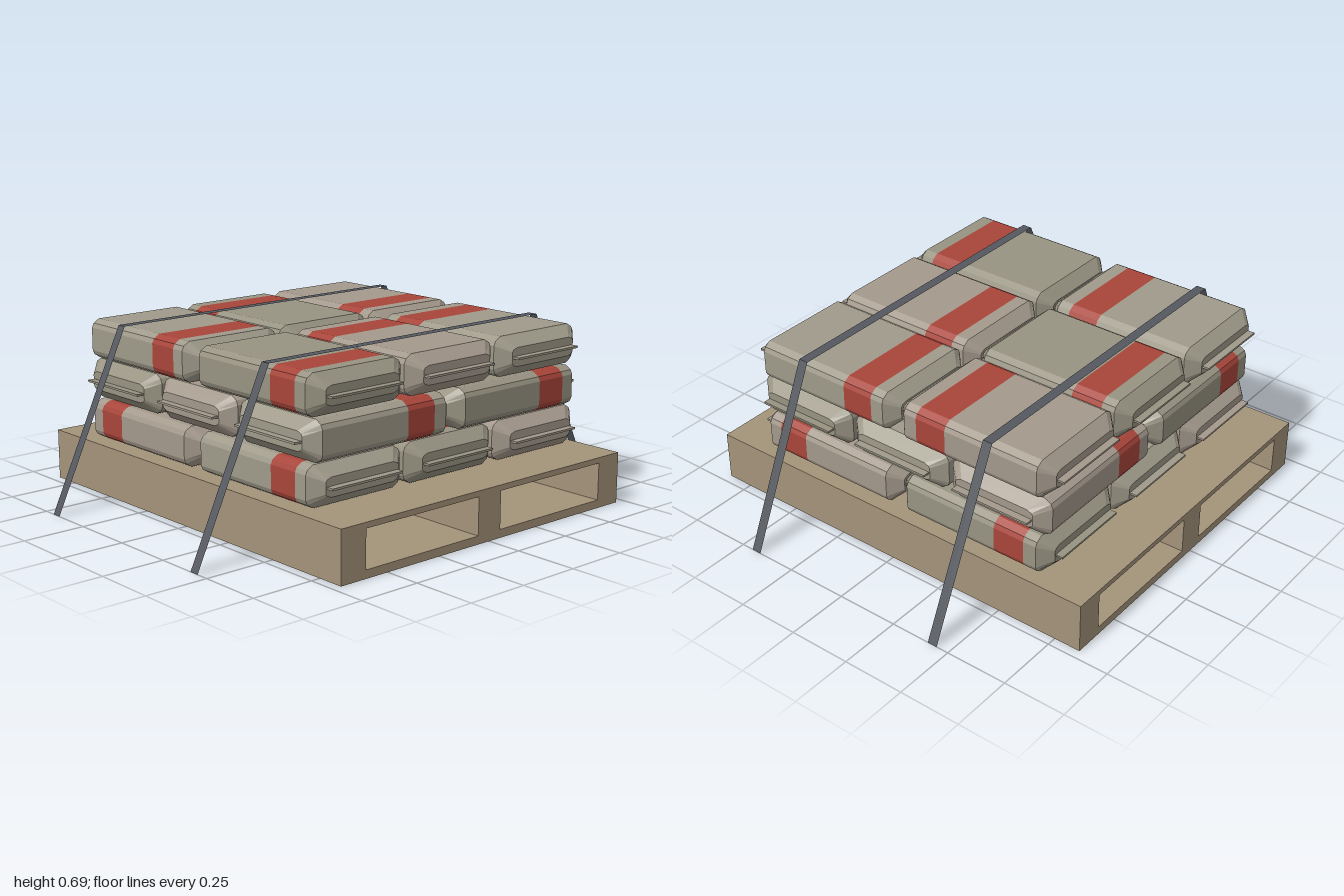
import * as THREE from 'three';

const mat = (color, extra = {}) => new THREE.MeshStandardMaterial({ color, flatShading: true, ...extra });
const SACKS = [mat(0x9f9a8a), mat(0xa4998c), mat(0x989382)];
const RED = mat(0xa8453a);
const WOOD = mat(0xa4937a);
const STRAP = mat(0x54585e, { side: THREE.DoubleSide });

// Sack cross-section: a flat box with softened corners, counter-clockwise
const CORNER = [[0.22, 0.045], [0.212, 0.062], [0.187, 0.077]];
const flip = (sx, sy, reverse) => {
  const pts = CORNER.map(([x, y]) => [x * sx, y * sy]);
  return reverse ? pts.reverse() : pts;
};
const SECTION = [...flip(1, 1), ...flip(-1, 1, true), ...flip(-1, -1), ...flip(1, -1, true)];

// Skin over rings [z, width scale, height scale], with optional end caps
function loft(rings, capStart, capEnd) {
  const n = SECTION.length, pos = [], idx = [];
  for (const [z, sx, sy] of rings) for (const [x, y] of SECTION) pos.push(x * sx, y * sy, z);
  for (let r = 0; r < rings.length - 1; r++) {
    for (let j = 0; j < n; j++) {
      const a = r * n + j, b = r * n + (j + 1) % n;
      idx.push(a, b, b + n, a, b + n, a + n);
    }
  }
  const last = (rings.length - 1) * n;
  for (let j = 1; j < n - 1; j++) {
    if (capStart) idx.push(0, j + 1, j);
    if (capEnd) idx.push(last, last + j, last + j + 1);
  }
  const g = new THREE.BufferGeometry();
  g.setAttribute('position', new THREE.Float32BufferAttribute(pos, 3));
  g.setIndex(idx);
  const flat = g.toNonIndexed();
  flat.computeVertexNormals();
  return flat;
}

function add(parent, name, geometry, material) {
  const m = new THREE.Mesh(geometry, material);
  m.name = name;
  parent.add(m);
  return m;
}

// Sack lying along z, its red band towards the +z end
const END = [0.77, 0.47];
const BAND = [0.108, 0.238];
const frontGeo = loft([[BAND[1], 1, 1], [0.293, 1, 1], [0.34, ...END]], false, true);
const bodyGeo = loft([[-0.34, ...END], [-0.293, 1, 1], [BAND[0], 1, 1]], true, false);
const bandGeo = loft([[BAND[0], 1, 1], [BAND[1], 1, 1]], false, false);
const seamGeo = new THREE.BoxGeometry(0.33, 0.008, 0.738);

function makeSack(material) {
  const sack = new THREE.Group();
  sack.name = 'sack';
  add(sack, 'sackBody', bodyGeo, material);
  add(sack, 'sackEnd', frontGeo, material);
  add(sack, 'redBand', bandGeo, RED);
  add(sack, 'sewnSeams', seamGeo, material);
  return sack;
}

function makePallet() {
  const rect = (Type, x0, x1, y0, y1) => {
    const s = new Type();
    s.moveTo(x0, y0).lineTo(x1, y0).lineTo(x1, y1).lineTo(x0, y1).closePath();
    return s;
  };
  const shape = rect(THREE.Shape, -0.713, 0.713, 0, 0.2);
  // Fork openings
  shape.holes.push(rect(THREE.Path, -0.6, -0.057, 0.032, 0.178), rect(THREE.Path, 0.057, 0.6, 0.032, 0.178));
  const g = new THREE.ExtrudeGeometry(shape, { depth: 1.714, bevelEnabled: false });
  return g.translate(0, 0, -0.857);
}

// Thin ribbon over the load and down to the ground on both sides
function makeStrap() {
  const path = [[-1, 0], [-0.68, 0.686], [0.68, 0.686], [1, 0]];
  const pos = [], idx = [];
  path.forEach(([x, y], i) => {
    pos.push(x, y, 0.02, x, y, -0.02);
    if (i) idx.push(2 * i - 2, 2 * i, 2 * i + 1, 2 * i - 2, 2 * i + 1, 2 * i - 1);
  });
  const g = new THREE.BufferGeometry();
  g.setAttribute('position', new THREE.Float32BufferAttribute(pos, 3));
  g.setIndex(idx);
  const flat = g.toNonIndexed();
  flat.computeVertexNormals();
  return flat;
}

// Each layer: two rows of three; the sign gives the side the band lies on
const LAYERS = [
  { y: 0.283, across: false, bands: [[-1, -1, -1], [1, 1, 1]] },
  { y: 0.443, across: true, bands: [[-1, 1, 1], [-1, -1, 1]] },
  { y: 0.603, across: false, bands: [[1, -1, 1], [1, -1, -1]] },
];

export function createModel() {
  const model = new THREE.Group();
  model.name = 'loadedPallet';
  add(model, 'pallet', makePallet(), WOOD);

  LAYERS.forEach(({ y, across, bands }, l) => {
    const layer = new THREE.Group();
    layer.name = 'sackLayer' + (l + 1);
    bands.forEach((row, r) => row.forEach((sign, c) => {
      const sack = makeSack(SACKS[(l + c * 2 + r * 2 + 1) % 3]);
      const along = (r - 0.5) * 0.688, side = (c - 1) * 0.458;
      sack.position.set(across ? along : side, y, across ? side : along);
      sack.rotation.y = (sign < 0 ? Math.PI : 0) + (across ? Math.PI / 2 : 0);
      layer.add(sack);
    }));
    model.add(layer);
  });

  const strapGeo = makeStrap();
  for (const z of [-0.43, 0.43]) add(model, 'strap', strapGeo, STRAP).position.z = z;
  return model;
}
